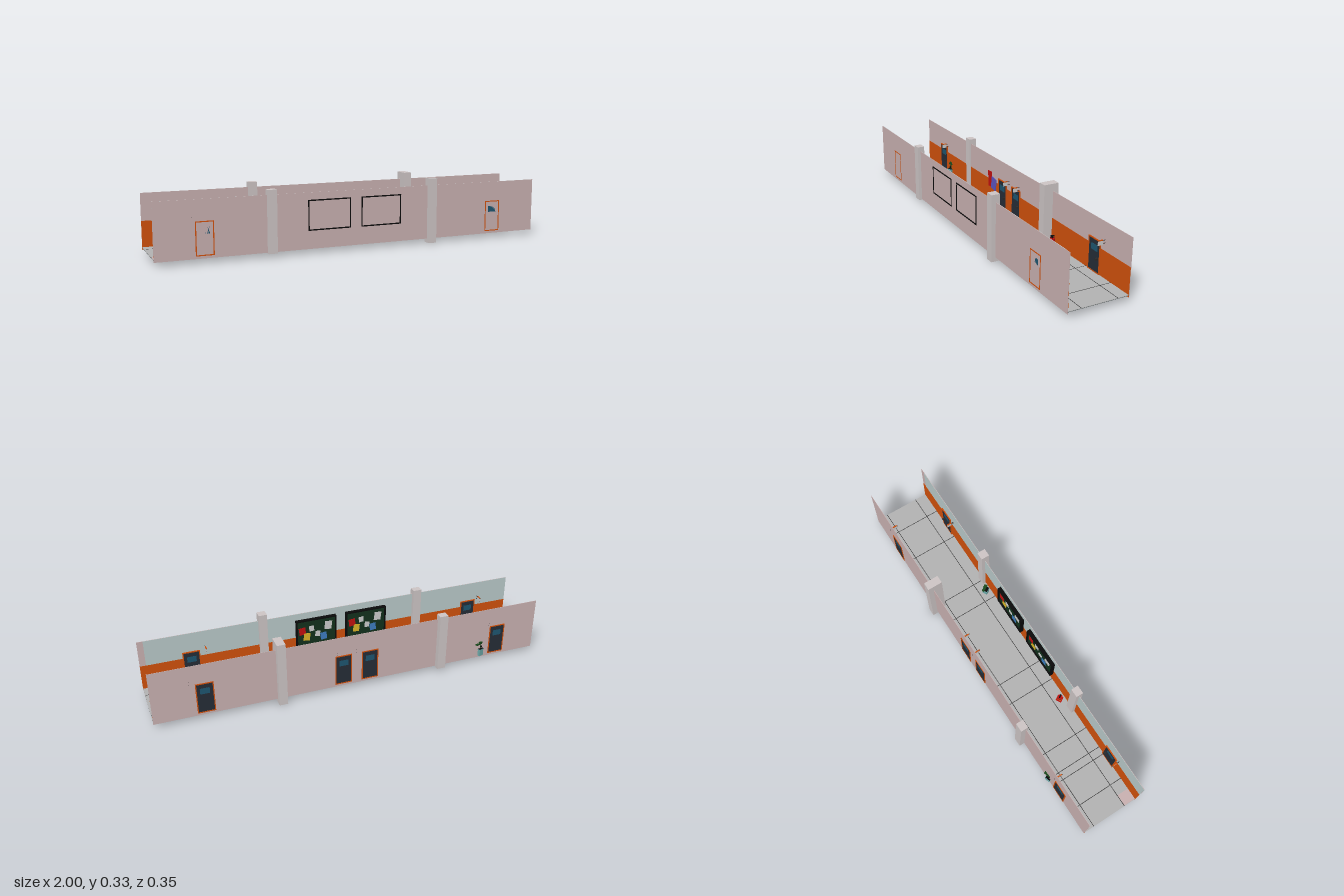
import * as THREE from 'three';

const mat = (color) => new THREE.MeshStandardMaterial({ color, flatShading: true });
const M = {
  wall: mat(0xc8b0b0), upper: mat(0xb8c8c8), orange: mat(0xd0500c), pillar: mat(0xccc4c4),
  floor: mat(0xb2b2b2), rim: mat(0x5a6464), black: mat(0x0a0a0a), grout: mat(0x3c3c3c),
  door: mat(0x252c36), glass: mat(0x1d5570), board: mat(0x12301c), white: mat(0xdcdcdc),
  red: mat(0xc01010), yellow: mat(0xd8b428), blue: mat(0x3c7cc0), violet: mat(0x5a54c0),
  teal: mat(0x6ca8a8), green: mat(0x1a4a1c), dark: mat(0x2a2a2a),
};
const FRONT = 0.155, BACK = -0.147, LOW = 0.022, HIGH = 0.293, FLOOR = 0.034;

// Box given by its limits on each axis
function box(parent, name, m, x0, x1, y0, y1, z0, z1) {
  const mesh = new THREE.Mesh(new THREE.BoxGeometry(x1 - x0, y1 - y0, Math.abs(z1 - z0)), m);
  mesh.position.set((x0 + x1) / 2, (y0 + y1) / 2, (z0 + z1) / 2);
  mesh.name = name;
  parent.add(mesh);
  return mesh;
}

// Four bars around a rectangle
function frame(parent, name, m, x0, x1, y0, y1, z0, z1, t) {
  box(parent, name, m, x0, x0 + t, y0, y1, z0, z1);
  box(parent, name, m, x1 - t, x1, y0, y1, z0, z1);
  box(parent, name, m, x0 + t, x1 - t, y1 - t, y1, z0, z1);
  box(parent, name, m, x0 + t, x1 - t, y0, y0 + t, z0, z1);
}

function group(parent, name, x = 0, y = 0, z = 0, ry = 0) {
  const g = new THREE.Group();
  g.name = name;
  g.position.set(x, y, z);
  g.rotation.y = ry;
  parent.add(g);
  return g;
}

// Door set through a wall; inward is the z direction of the corridor
function addDoor(parent, x, z, inward, signX) {
  const g = group(parent, 'door', x, 0, z);
  frame(g, 'doorFrame', M.orange, -0.043, 0.043, 0.034, 0.193, -0.005, 0.005, 0.005);
  box(g, 'doorLeaf', M.door, -0.038, 0.038, 0.036, 0.189, -0.0035, 0.0035);
  box(g, 'doorWindow', M.glass, -0.023, 0.023, 0.135, 0.166, -0.004, 0.004);
  box(g, 'doorHandle', M.dark, 0.022, 0.031, 0.1, 0.109, 0.003 * inward, 0.015 * inward);
  // Projecting room sign on two rods
  const s = group(parent, 'roomSign', signX, 0, z);
  box(s, 'signPlate', M.white, -0.002, 0.002, 0.191, 0.212, 0.013 * inward, 0.037 * inward);
  box(s, 'signCap', M.orange, -0.0025, 0.0025, 0.211, 0.215, 0.013 * inward, 0.037 * inward);
  for (const y of [0.197, 0.211])
    box(s, 'signRod', M.dark, -0.001, 0.001, y - 0.001, y + 0.001, -0.004 * inward, 0.04 * inward);
}

// Notice board with pinned papers
function addBoard(parent, x0, x1) {
  const g = group(parent, 'noticeBoard');
  frame(g, 'boardFrame', M.black, x0, x1, 0.11, 0.258, 0.133, 0.158, 0.006);
  box(g, 'boardPanel', M.board, x0 + 0.004, x1 - 0.004, 0.114, 0.254, 0.141, 0.152);
  const papers = [[M.red, 0.85, 0.58, 0.035, 0.04], [M.yellow, 0.74, 0.34, 0.034, 0.042],
    [M.white, 0.62, 0.64, 0.026, 0.03], [M.white, 0.2, 0.66, 0.038, 0.046],
    [M.blue, 0.32, 0.27, 0.034, 0.04], [M.white, 0.47, 0.4, 0.026, 0.03]];
  papers.forEach(([m, u, v, w, h], i) => {
    const p = box(g, 'paper', m, -w / 2, w / 2, -h / 2, h / 2, -0.0008, 0.0008);
    p.position.set(x0 + u * (x1 - x0), 0.11 + v * 0.148, 0.1395);
    p.rotation.z = i % 2 ? 0.12 : -0.1;
  });
}

// Square pot with a few blocky leaves
function addPlant(parent, x, z, ry) {
  const g = group(parent, 'plant', x, FLOOR - 0.003, z, ry);
  box(g, 'pot', M.teal, -0.013, 0.013, 0, 0.036, -0.013, 0.013);
  box(g, 'potRim', M.teal, -0.015, 0.015, 0.034, 0.039, -0.015, 0.015);
  box(g, 'soil', M.black, -0.0135, 0.0135, 0.039, 0.041, -0.0135, 0.0135);
  box(g, 'stem', M.green, -0.003, 0.003, 0.04, 0.08, -0.003, 0.003);
  box(g, 'leaf', M.green, -0.006, 0.006, 0.066, 0.072, -0.03, 0.01);
  box(g, 'leaf', M.green, -0.008, 0.008, 0.074, 0.081, -0.012, 0.006);
  for (const y of [0.046, 0.053]) box(g, 'twig', M.black, -0.009, 0.009, y, y + 0.003, -0.002, 0.006);
}

// Red extinguisher stand with black valve and hose
function addExtinguisher(parent, x, z, ry) {
  const g = group(parent, 'extinguisher', x, FLOOR - 0.003, z, ry);
  box(g, 'standBase', M.red, -0.015, 0.015, 0, 0.008, -0.015, 0.015);
  const body = new THREE.Mesh(new THREE.CylinderGeometry(0.013, 0.013, 0.034, 8), M.red);
  body.name = 'tank';
  body.position.y = 0.025;
  g.add(body);
  const band = new THREE.Mesh(new THREE.CylinderGeometry(0.0134, 0.0134, 0.002, 8), M.yellow);
  band.name = 'tankBand';
  band.position.y = 0.02;
  g.add(band);
  box(g, 'valve', M.black, -0.003, 0.003, 0.041, 0.055, -0.003, 0.003);
  box(g, 'lever', M.black, -0.003, 0.003, 0.046, 0.049, -0.009, 0.011);
  box(g, 'lever', M.black, -0.003, 0.003, 0.053, 0.056, -0.009, 0.008);
}

export function createModel() {
  const root = new THREE.Group();
  root.name = 'corridor';

  // Floor slab with its dark underside and grout lines
  const floor = group(root, 'floor');
  box(floor, 'floorSlab', M.floor, -1, 1, 0.032, FLOOR, BACK, FRONT);
  box(floor, 'floorRim', M.rim, -1, 1, 0.0305, 0.032, BACK, FRONT);
  box(floor, 'underside', M.black, -0.98, 0.98, 0.03, 0.0306, BACK + 0.02, FRONT - 0.02);
  for (const x of [-0.88, -0.735, -0.695, -0.58, -0.275, -0.16, 0.27, 0.385, 0.69, 0.875])
    box(floor, 'grout', M.grout, x - 0.0015, x + 0.0015, FLOOR, FLOOR + 0.0004, BACK, FRONT);
  for (const z of [-0.09, 0.09])
    box(floor, 'grout', M.grout, -1, 1, FLOOR, FLOOR + 0.0004, z - 0.0015, z + 0.0015);
  box(floor, 'cornerTile', M.wall, -0.998, -0.94, FLOOR, FLOOR + 0.0006, 0.092, 0.153);

  // Long walls with orange dado inside
  const walls = group(root, 'walls');
  box(walls, 'frontWall', M.wall, -1, 1, LOW, HIGH, FRONT - 0.001, FRONT + 0.001);
  box(walls, 'backWall', M.wall, -1, 1, LOW, HIGH, BACK - 0.001, BACK + 0.001);
  box(walls, 'frontDado', M.orange, -1, 1, LOW, 0.16, FRONT - 0.002, FRONT - 0.001);
  box(walls, 'backDado', M.orange, -1, 1, LOW, 0.16, BACK + 0.001, BACK + 0.002);
  box(walls, 'frontUpperPaint', M.upper, -1, 0.97, 0.16, HIGH, FRONT - 0.002, FRONT - 0.001);

  // Pillars straddling the walls
  const pillars = group(root, 'pillars');
  box(pillars, 'pillar', M.pillar, -0.477, -0.433, 0.018, 0.318, 0.135, 0.172);
  box(pillars, 'pillar', M.pillar, 0.364, 0.406, 0.002, 0.33, 0.135, 0.178);
  box(pillars, 'pillar', M.pillar, -0.477, -0.433, 0.018, 0.318, -0.175, -0.137);
  box(pillars, 'pillar', M.pillar, 0.364, 0.406, 0, 0.33, -0.175, -0.098);

  // Doors as [x, sign x]
  for (const [x, s] of [[-0.77, -0.825], [0.75, 0.68]]) addDoor(root, x, 0.152, -1, s);
  for (const [x, s] of [[-0.78, -0.73], [-0.07, 0], [0.068, 0.1], [0.75, 0.82]])
    addDoor(root, x, -0.146, 1, s);

  // Notice boards on the front wall, posters on the back wall
  addBoard(root, -0.275, -0.055);
  addBoard(root, 0, 0.215);
  const posters = group(root, 'posters');
  box(posters, 'redPoster', M.red, -0.225, -0.185, 0.12, 0.205, BACK + 0.002, BACK + 0.004).rotation.z = 0.08;
  box(posters, 'bluePoster', M.violet, -0.19, -0.14, 0.112, 0.178, BACK + 0.002, BACK + 0.005).rotation.z = -0.15;

  // Loose objects along the walls
  addPlant(root, 0.317, 0.124, 0.5);
  addPlant(root, -0.692, -0.145, 1.9 + Math.PI);
  addExtinguisher(root, -0.385, 0.125, 0.5);
  addExtinguisher(root, 0.44, -0.128, -0.4);
  return root;
}
